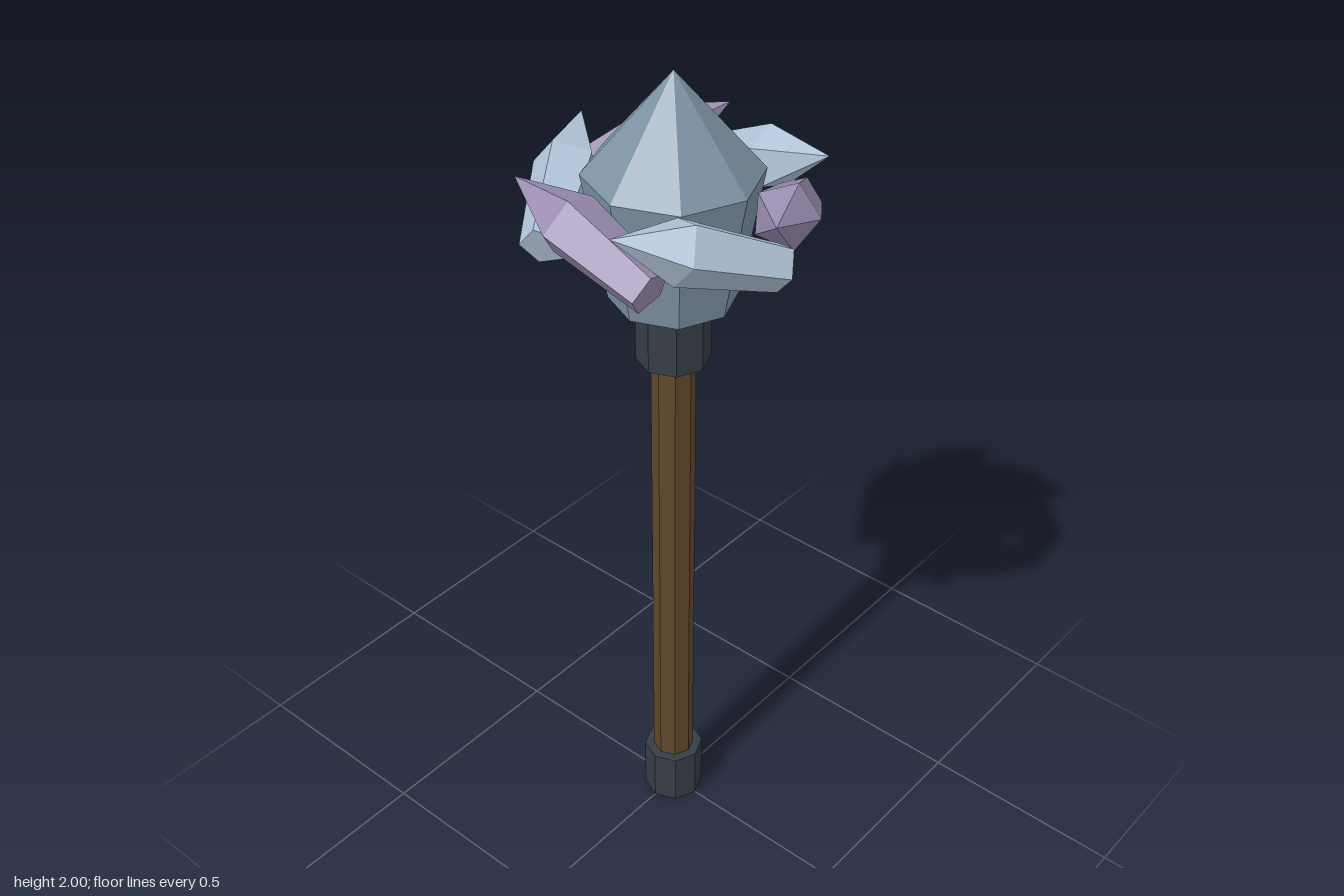
import * as THREE from 'three';

const mat = (name, color) => {
  const m = new THREE.MeshStandardMaterial({ color });
  m.name = name;
  return m;
};

// Faceted solid of revolution; profile is [radius, y] from bottom to top.
function faceted(name, profile, sides, material) {
  const points = profile.map(([r, y]) => new THREE.Vector2(r, y));
  const geometry = new THREE.LatheGeometry(points, sides).toNonIndexed();
  geometry.computeVertexNormals();
  const mesh = new THREE.Mesh(geometry, material);
  mesh.name = name;
  return mesh;
}

export function createModel() {
  const stone = mat('slate blue stone', 0x7d93a5);
  const paleCrystal = mat('pale blue crystal', 0xb0c4d8);
  const purpleCrystal = mat('dusty purple crystal', 0x9a8db2);
  const wood = mat('brown wood', 0x60482a);
  const iron = mat('dark iron', 0x363d45);

  const model = new THREE.Group();
  model.name = 'crystalMace';

  // Shaft with its iron fittings
  model.add(
    faceted('pommel', [[0, 0], [0.073, 0], [0.073, 0.14], [0, 0.14]], 8, iron),
    faceted('handle', [[0, 0.12], [0.05, 0.12], [0.05, 1.36], [0, 1.36]], 8, wood),
    faceted('collar', [[0, 1.33], [0.083, 1.33], [0.083, 1.49], [0, 1.49]], 8, iron)
  );

  // Large pointed stone
  model.add(faceted('headStone', [[0, 1.488], [0.14, 1.488], [0.192, 1.78], [0, 2]], 8, stone));

  // Ring of six tilted five-sided crystals in alternating colours
  const ring = new THREE.Group();
  ring.name = 'crystalRing';
  const profile = [[0, 0], [0.052, 0], [0.072, 0.228], [0, 0.383]];
  for (let i = 0; i < 6; i++) {
    const crystal = faceted('crystal', profile, 5, i % 2 ? paleCrystal : purpleCrystal);
    crystal.position.set(0.145, 1.66, 0.24);
    crystal.rotation.z = THREE.MathUtils.degToRad(70);
    const holder = new THREE.Group();
    holder.name = 'crystalHolder' + (i + 1);
    holder.rotation.y = THREE.MathUtils.degToRad(30 + 60 * i);
    holder.add(crystal);
    ring.add(holder);
  }
  model.add(ring);
  return model;
}
